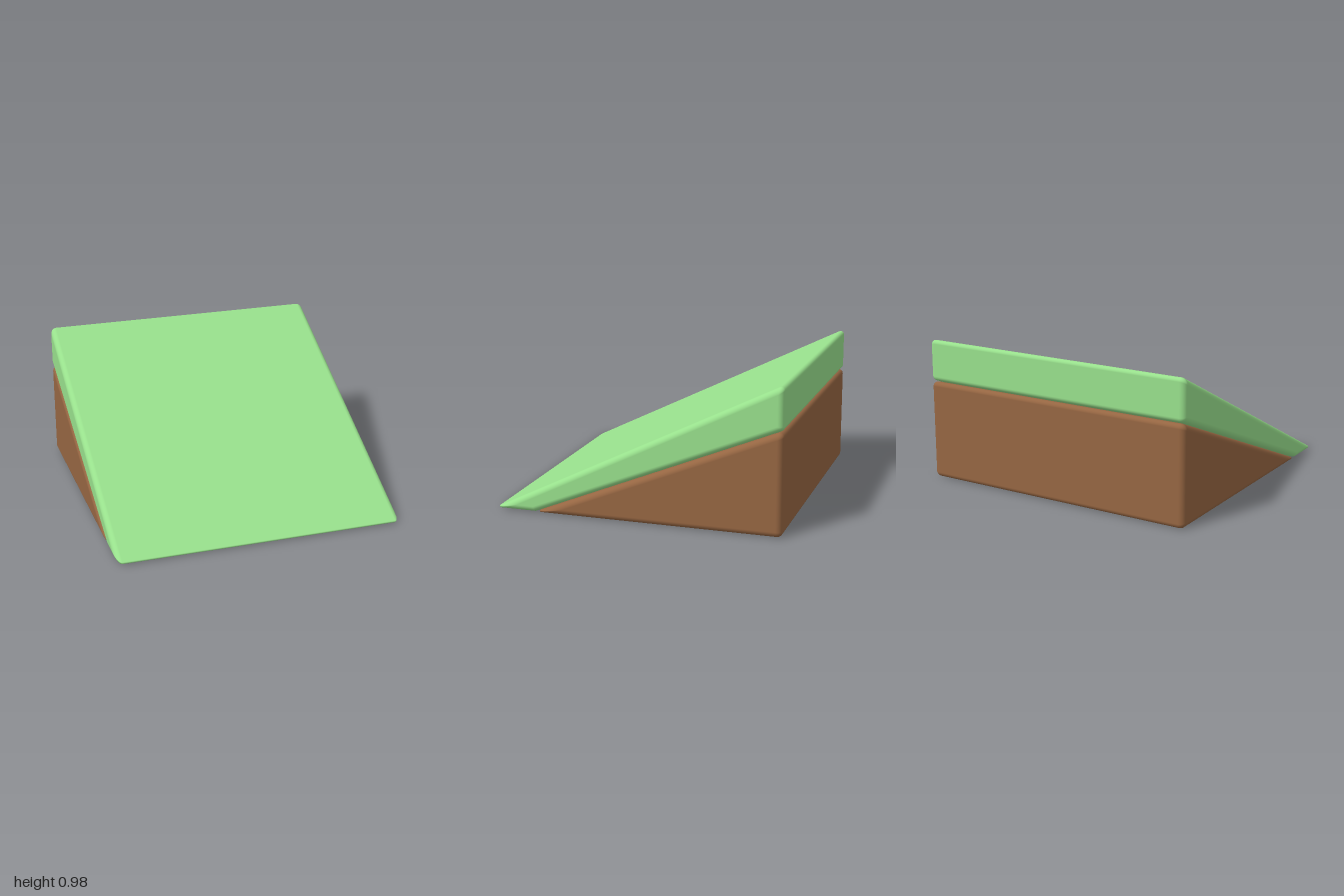
import * as THREE from 'three';

const HALF_WIDTH = 1, BEVEL = 0.04, STEPS = 6;

// Outline of a convex profile in (z, y), inset by d, each corner rounded by its own radius * k.
// corners: [z, y, radius] counter-clockwise. Returns points with their outward normals.
function roundedLoop(corners, d, k) {
  const n = corners.length, out = [];
  const normal = (i) => {
    const a = corners[(i + n) % n], b = corners[(i + 1) % n];
    return new THREE.Vector2(b[1] - a[1], a[0] - b[0]).normalize();
  };
  corners.forEach(([z, y, radius], i) => {
    const n1 = normal(i - 1), n2 = normal(i);
    const r = Math.max(radius * k, 0.0005);
    const shift = (d + r) / (1 + n1.dot(n2));
    const cz = z - (n1.x + n2.x) * shift, cy = y - (n1.y + n2.y) * shift;
    const a1 = Math.atan2(n1.y, n1.x);
    const turn = Math.atan2(n1.cross(n2), n1.dot(n2));
    for (let s = 0; s <= STEPS; s++) {
      const a = a1 + turn * s / STEPS, nz = Math.cos(a), ny = Math.sin(a);
      out.push({ z: cz + r * nz, y: cy + r * ny, nz, ny });
    }
  });
  return out;
}

// Profile swept across x, with softly rounded edges at both ends
function softWedge(name, corners, color) {
  const pos = [], nor = [], index = [];
  const slices = [];
  for (let s = 0; s <= STEPS; s++) slices.push(-Math.PI / 2 * (1 - s / STEPS));
  for (let s = 0; s <= STEPS; s++) slices.push(Math.PI / 2 * s / STEPS);
  let count = 0;
  slices.forEach((t, s) => {
    const side = s <= STEPS ? -1 : 1, c = Math.cos(t);
    const x = side * (HALF_WIDTH - BEVEL) + BEVEL * Math.sin(t);
    const loop = roundedLoop(corners, BEVEL * (1 - c), c);
    count = loop.length;
    for (const p of loop) {
      pos.push(x, p.y, p.z);
      nor.push(Math.sin(t), p.ny * c, p.nz * c);
    }
  });
  for (let s = 0; s < slices.length - 1; s++) {
    for (let j = 0; j < count; j++) {
      const a = s * count + j, b = s * count + (j + 1) % count;
      index.push(a, a + count, b + count, a, b + count, b);
    }
  }
  // flat end faces
  const last = (slices.length - 1) * count;
  for (let j = 1; j < count - 1; j++) {
    index.push(0, j, j + 1, last, last + j + 1, last + j);
  }
  const geo = new THREE.BufferGeometry();
  geo.setAttribute('position', new THREE.Float32BufferAttribute(pos, 3));
  geo.setAttribute('normal', new THREE.Float32BufferAttribute(nor, 3));
  geo.setIndex(index);
  const mesh = new THREE.Mesh(geo, new THREE.MeshStandardMaterial({ color }));
  mesh.name = name;
  return mesh;
}

export function createModel() {
  const group = new THREE.Group();
  group.name = 'grassSlope';

  // sloping turf layer
  group.add(softWedge('grassLayer', [
    [1.01, 0.004, 0.0076], [-0.985, 0.9975, 0.025], [-0.985, 0.705, 0.035], [0.715, 0.004, 0.035],
  ], 0x98e08c));

  // earth wedge beneath it
  group.add(softWedge('earthBase', [
    [0.715, 0, 0.006], [-0.985, 0.702, 0.03], [-0.985, 0, 0.035],
  ], 0x966642));

  return group;
}
